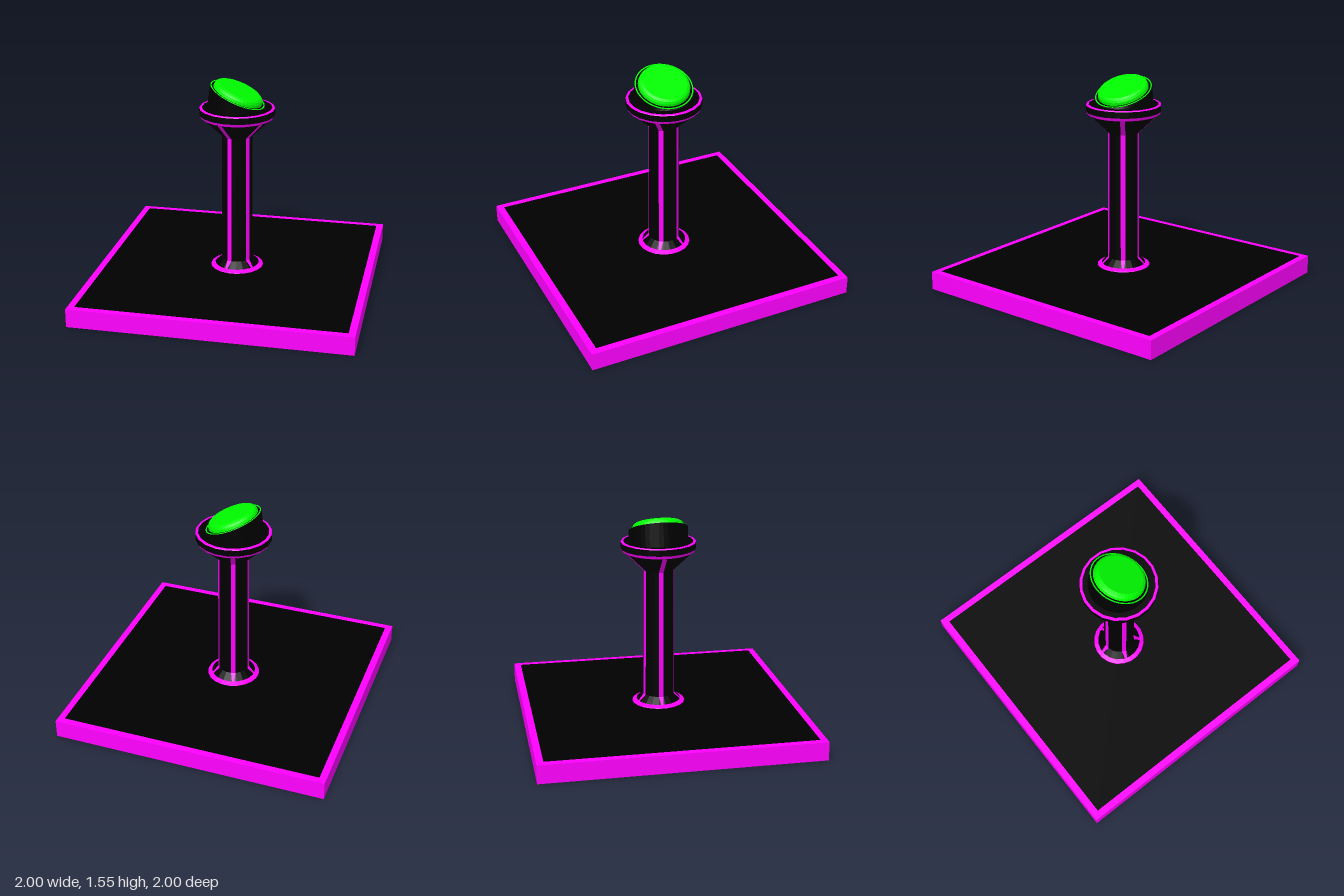
import * as THREE from 'three';

const SIDES = 20;
const paint = (color) => new THREE.MeshStandardMaterial({ color, flatShading: true });

export function createModel() {
  const model = new THREE.Group();
  const black = paint(0x000000);
  const magenta = paint(0xff00ff);
  const green = paint(0x00ff00);

  const add = (name, geometry, material, parent = model) => {
    const mesh = new THREE.Mesh(geometry, material);
    mesh.name = name;
    parent.add(mesh);
    return mesh;
  };
  // Profiles run from bottom to top on the outside; facets are centred on the axes.
  const lathe = (points, sides = SIDES) => new THREE.LatheGeometry(
    points.map(([r, y]) => new THREE.Vector2(r, y)), sides, Math.PI / sides);

  // Square floor slab with a dark inset panel
  add('floorSlab', new THREE.BoxGeometry(2, 0.135, 2), magenta).position.y = 0.0675;
  add('floorPanel', new THREE.BoxGeometry(1.9, 0.01, 1.9), black).position.y = 0.132;

  // Pedestal: foot ring, column with flared head, trim bands
  add('footRing', lathe([[0.195, 0.135], [0.192, 0.142], [0.162, 0.155]]), magenta);
  add('column', lathe([[0.162, 0.155], [0.115, 0.2], [0.11, 1.145], [0.25, 1.28]]), black);
  add('headBand', lathe([[0.25, 1.28], [0.262, 1.285], [0.272, 1.305]]), magenta);
  add('headSide', lathe([[0.272, 1.305], [0.272, 1.35]]), black);
  add('headRim', lathe([[0.272, 1.35], [0.268, 1.356], [0.252, 1.356]]), magenta);
  add('headTop', lathe([[0.252, 1.356], [0, 1.356]]), black);

  // Five stripes following the column facets: [radius, height, half width]
  const path = [[0.162, 0.155, 0.009], [0.115, 0.2, 0.017], [0.11, 1.145, 0.017], [0.25, 1.28, 0.017]];
  const apothem = Math.cos(Math.PI / SIDES);
  const positions = [];
  const indices = [];
  path.forEach(([r, y, w], i) => {
    const z = r * apothem + 0.002;
    positions.push(-w, y, z, w, y, z);
    if (i > 0) {
      const a = 2 * i - 2;
      indices.push(a, a + 1, a + 3, a, a + 3, a + 2);
    }
  });
  const stripe = new THREE.BufferGeometry();
  stripe.setAttribute('position', new THREE.Float32BufferAttribute(positions, 3));
  stripe.setIndex(indices);
  stripe.computeVertexNormals();
  for (let i = 0; i < 5; i++) {
    add('columnStripe', stripe, magenta).rotation.y = -Math.PI / 2 + i * Math.PI * 0.4;
  }

  // Button housing: a cylinder whose top is tilted towards +x
  const tilt = 0.41;
  const centre = new THREE.Vector3(0.003, 1.445, 0);
  const housing = new THREE.CylinderGeometry(0.212, 0.212, 1, 40);
  const pos = housing.attributes.position;
  const v = new THREE.Vector3();
  for (let i = 0; i < pos.count; i++) {
    v.fromBufferAttribute(pos, i);
    if (v.y > 0) v.setY(0).applyAxisAngle(new THREE.Vector3(0, 0, 1), -tilt).add(centre);
    else v.set(v.x - 0.004, 1.352, v.z);
    pos.setXYZ(i, v.x, v.y, v.z);
  }
  housing.computeVertexNormals();
  add('buttonHousing', housing, black);

  // Button and its thin ring, both lying on the tilted face
  const button = new THREE.Group();
  button.name = 'button';
  button.position.copy(centre);
  button.rotation.z = -tilt;
  model.add(button);
  add('buttonRing', lathe([[0.21, 0], [0.209, 0.003], [0.201, 0.003], [0.2, 0]], 40), green, button);
  add('buttonCap', lathe([[0.187, 0], [0.184, 0.02], [0.175, 0.035], [0.158, 0.045], [0, 0.045]], 40), green, button);

  return model;
}
